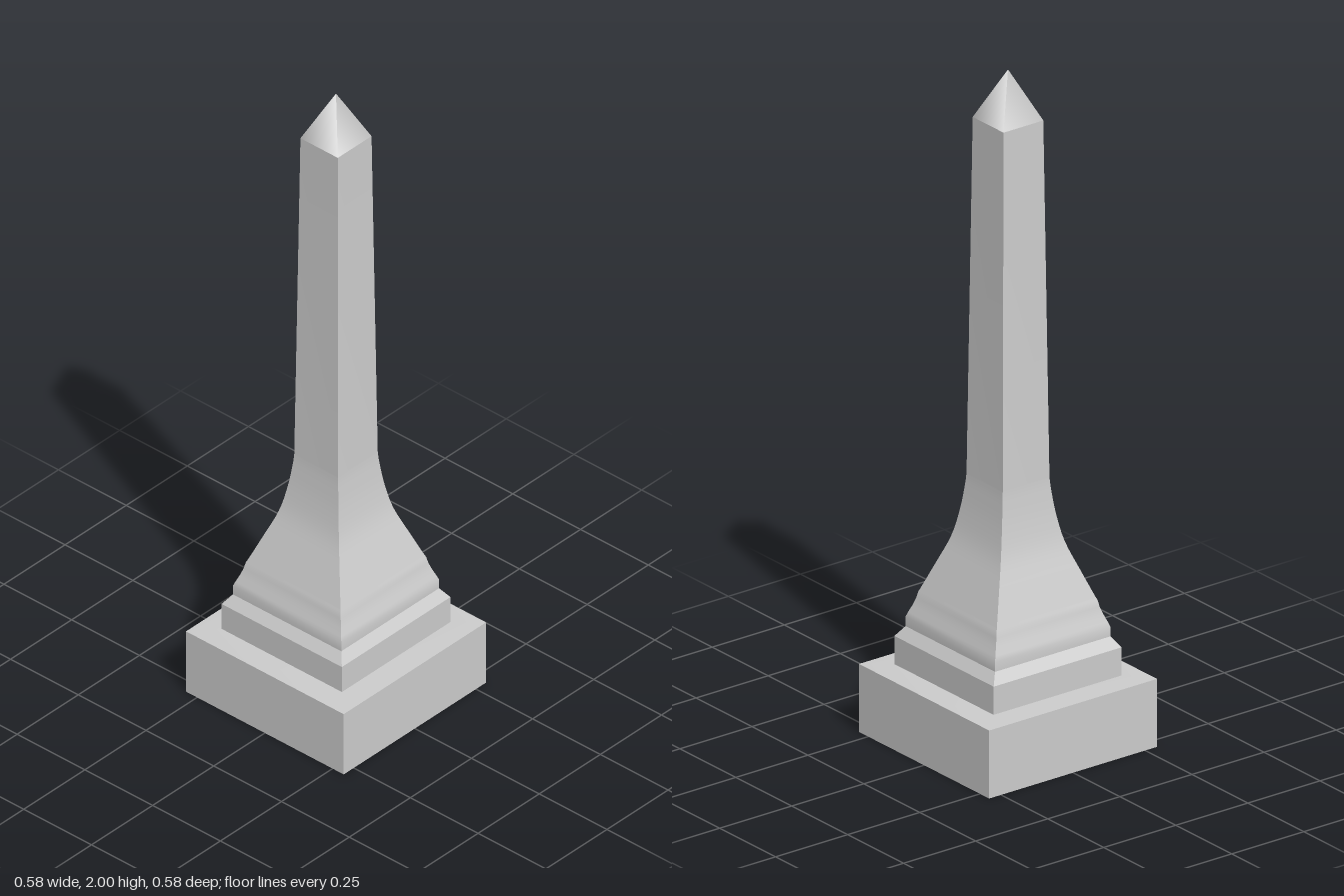
import * as THREE from 'three';
import { toCreasedNormals } from 'three/addons/utils/BufferGeometryUtils.js';

const material = new THREE.MeshStandardMaterial({ color: 0xcccccc });

// Turns a [half width, height] profile into a square solid with sharp corners
function squareProfile(name, profile) {
  const points = profile.map(([w, y]) => new THREE.Vector2(w * Math.SQRT2, y));
  const geometry = new THREE.LatheGeometry(points, 4, Math.PI / 4);
  const mesh = new THREE.Mesh(toCreasedNormals(geometry, 0.5), material);
  mesh.name = name;
  return mesh;
}

export function createModel() {
  const group = new THREE.Group();
  group.name = 'obelisk';

  // Broad block with a barely sloping top
  group.add(squareProfile('plinth', [[0, 0], [0.291, 0], [0.291, 0.203], [0.222, 0.208], [0, 0.208]]));

  // Smaller step with a bevelled upper edge
  group.add(squareProfile('step', [[0.222, 0.205], [0.222, 0.292], [0.2, 0.323]]));

  // Curved moulding under the shaft
  group.add(squareProfile('moulding', [
    [0.2, 0.323], [0.2, 0.352], [0.195, 0.366], [0.187, 0.386], [0.179, 0.41], [0.175, 0.43], [0.172, 0.436],
  ]));

  // Flared foot easing into the tapering shaft
  const flare = new THREE.SplineCurve([
    [0.172, 0.436], [0.142, 0.515], [0.111, 0.6], [0.094, 0.68], [0.084, 0.755], [0.081, 0.79],
  ].map(([w, y]) => new THREE.Vector2(w, y))).getPoints(20).map((p) => [p.x, p.y]);
  group.add(squareProfile('shaft', [...flare, [0.069, 1.853]]));

  // Pointed cap with soft shading around its four sides
  const cap = new THREE.Mesh(new THREE.ConeGeometry(0.069 * Math.SQRT2, 0.147, 4, 1, false, Math.PI / 4), material);
  cap.name = 'cap';
  cap.position.y = 1.853 + 0.147 / 2;
  group.add(cap);

  return group;
}
